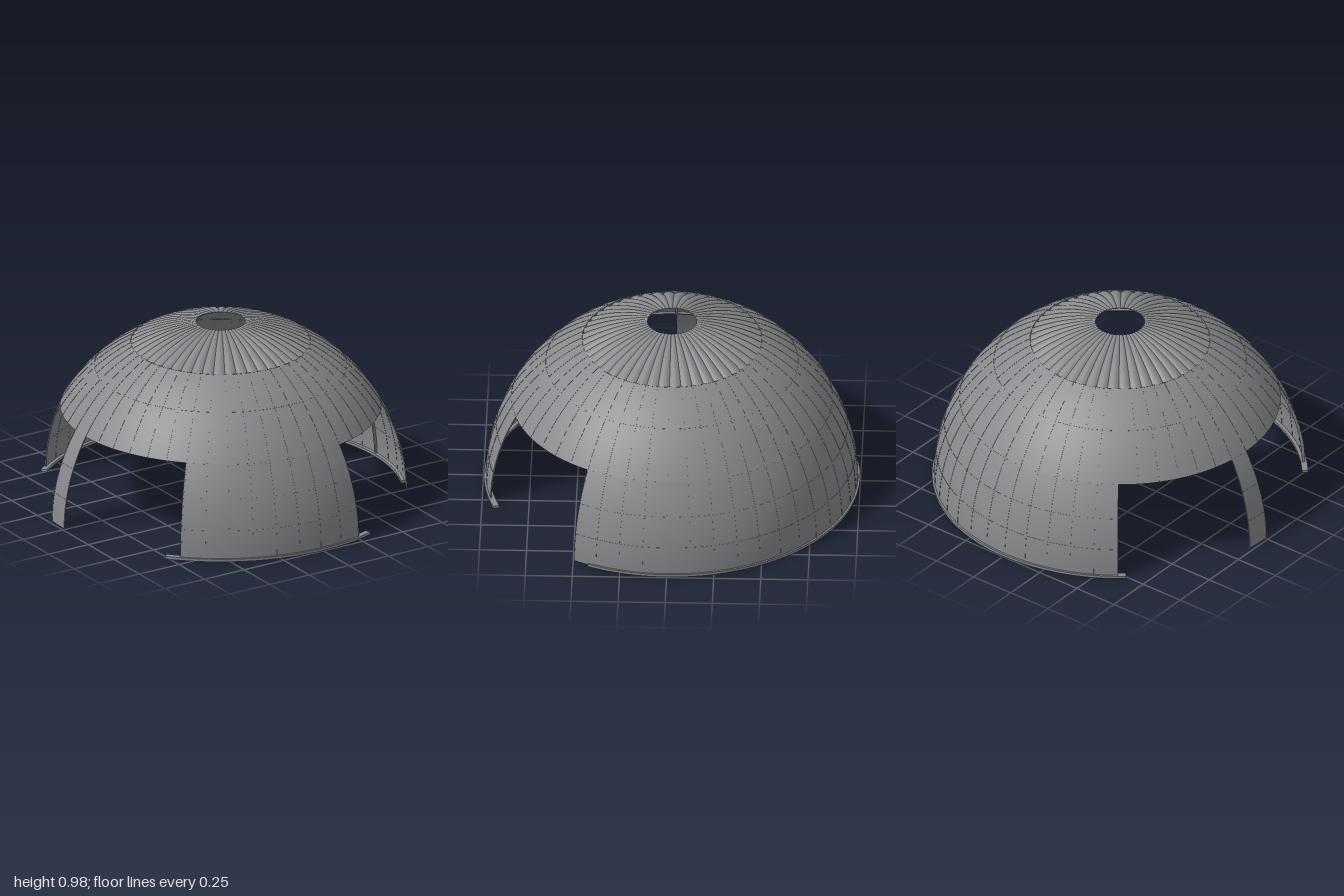
import * as THREE from 'three';
import { mergeGeometries, toCreasedNormals } from 'three/addons/utils/BufferGeometryUtils.js';

const RAD = Math.PI / 180;
const R = 0.988, THICK = 0.004;
const GORE = 7.5; // degrees per gore, 48 around

// Closed section on the dome: outer arc upward, inner arc back down (degrees of latitude)
function arcSection(lat0, lat1, outer = R, inner = R - THICK) {
  const n = Math.max(1, Math.round((lat1 - lat0) / 2.5));
  const pts = [];
  const add = (r, k) => {
    const a = (lat0 + (lat1 - lat0) * k / n) * RAD;
    pts.push([r * Math.cos(a), r * Math.sin(a)]);
  };
  for (let k = 0; k <= n; k++) add(outer, k);
  for (let k = n; k >= 0; k--) add(inner, k);
  return pts;
}

// Sweep a closed section about the y axis from a0 to a1 degrees (from +x toward +z)
function sweep(section, a0, a1, steps, warp = () => 1) {
  const pos = [], m = section.length;
  const closed = a1 - a0 >= 360;
  const point = (i, j) => {
    const deg = a0 + (a1 - a0) * i / steps;
    const [r, y] = section[j % m], s = warp(deg, r);
    return [r * s * Math.cos(deg * RAD), y * s, r * s * Math.sin(deg * RAD)];
  };
  const quad = (a, b, c, d) => pos.push(...a, ...b, ...c, ...a, ...c, ...d);
  for (let i = 0; i < steps; i++) {
    for (let j = 0; j < m; j++) quad(point(i, j), point(i, j + 1), point(i + 1, j + 1), point(i + 1, j));
  }
  if (!closed) {
    for (let k = 0; k < m / 2 - 1; k++) {
      const o = m - 1 - k;
      quad(point(0, k), point(0, o), point(0, o - 1), point(0, k + 1));
      quad(point(steps, k), point(steps, k + 1), point(steps, o - 1), point(steps, o));
    }
  }
  const g = new THREE.BufferGeometry();
  g.setAttribute('position', new THREE.Float32BufferAttribute(pos, 3));
  return toCreasedNormals(g, 0.25);
}

export function createModel() {
  const model = new THREE.Group();
  model.name = 'dome';
  const metal = new THREE.MeshStandardMaterial({ color: 0x88898c });
  metal.name = 'greyMetal';
  const add = (name, geometry) => {
    const mesh = new THREE.Mesh(geometry, metal);
    mesh.name = name;
    model.add(mesh);
  };

  // Upper shell, and fluted crown around the open eye
  add('upperShell', sweep(arcSection(30.4, 61), 0, 360, 96));
  const flute = (deg, r) => {
    const t = ((deg % GORE) / GORE) * 2 - 1;
    return 1 - 0.2 * r * GORE * RAD * t * t;
  };
  add('flutedCrown', sweep(arcSection(61, 82.4), 0, 360, 48 * 8, flute));

  // Lower wall panels with their base rails; the strip stands without a rail
  const walls = [
    { name: 'front', from: 75, to: 135, rail: [70, 140] },
    { name: 'back', from: -127.5, to: 30, rail: [-130, 25] },
    { name: 'strip', from: 180, to: 187.5 },
  ];
  const railSection = [[0.998, 0], [0.998, 0.015], [0.965, 0.015], [0.965, 0]];
  for (const { name, from, to, rail } of walls) {
    add(name + 'Wall', sweep(arcSection(0.3, 30.4), from, to, Math.round((to - from) / GORE) * 2));
    if (rail) add(name + 'BaseRail', sweep(railSection, rail[0], rail[1], Math.round((rail[1] - rail[0]) / 2.5)));
  }

  // Inner ribs every 45 degrees, running down wherever a wall stands below
  const onWall = (deg) => walls.some((w) => [0, -360].some((o) => deg + o >= w.from && deg + o <= w.to));
  const ribs = [];
  for (let deg = 0; deg < 360; deg += 45) {
    // the rib over the strip stops at the upper shell
    const low = onWall(deg) && deg !== 180 ? 0.5 : 30.4;
    ribs.push(sweep(arcSection(low, 61, R - 0.003, R - 0.016), deg - 0.35, deg + 0.35, 1));
  }
  add('innerRibs', mergeGeometries(ribs));

  // Hoop stiffening the lower rim of the upper shell
  add('rimHoop', sweep(arcSection(30.4, 31.1, R - 0.003, R - 0.014), 0, 360, 96));

  // Fine raised joints between gores and courses, inside and out
  const joints = [];
  const outer = R + 0.0012, inner = R - THICK - 0.0012;
  const hoop = (lat, from, to) =>
    joints.push(sweep(arcSection(lat - 0.12, lat + 0.12, outer, inner), from, to, Math.round((to - from) / 3.75)));
  for (let deg = 0; deg < 360; deg += GORE) {
    const low = onWall(deg) ? 0.6 : 30.6;
    joints.push(sweep(arcSection(low, 61, outer, inner), deg - 0.1, deg + 0.1, 1));
  }
  for (const lat of [47.2, 61]) hoop(lat, 0, 360);
  for (const { from, to } of walls) for (const lat of [9.6, 19.5, 30.4]) hoop(lat, from, to);
  add('panelJoints', mergeGeometries(joints));

  model.position.x = -0.004;
  const root = new THREE.Group();
  root.name = 'domeModel';
  root.add(model);
  return root;
}
